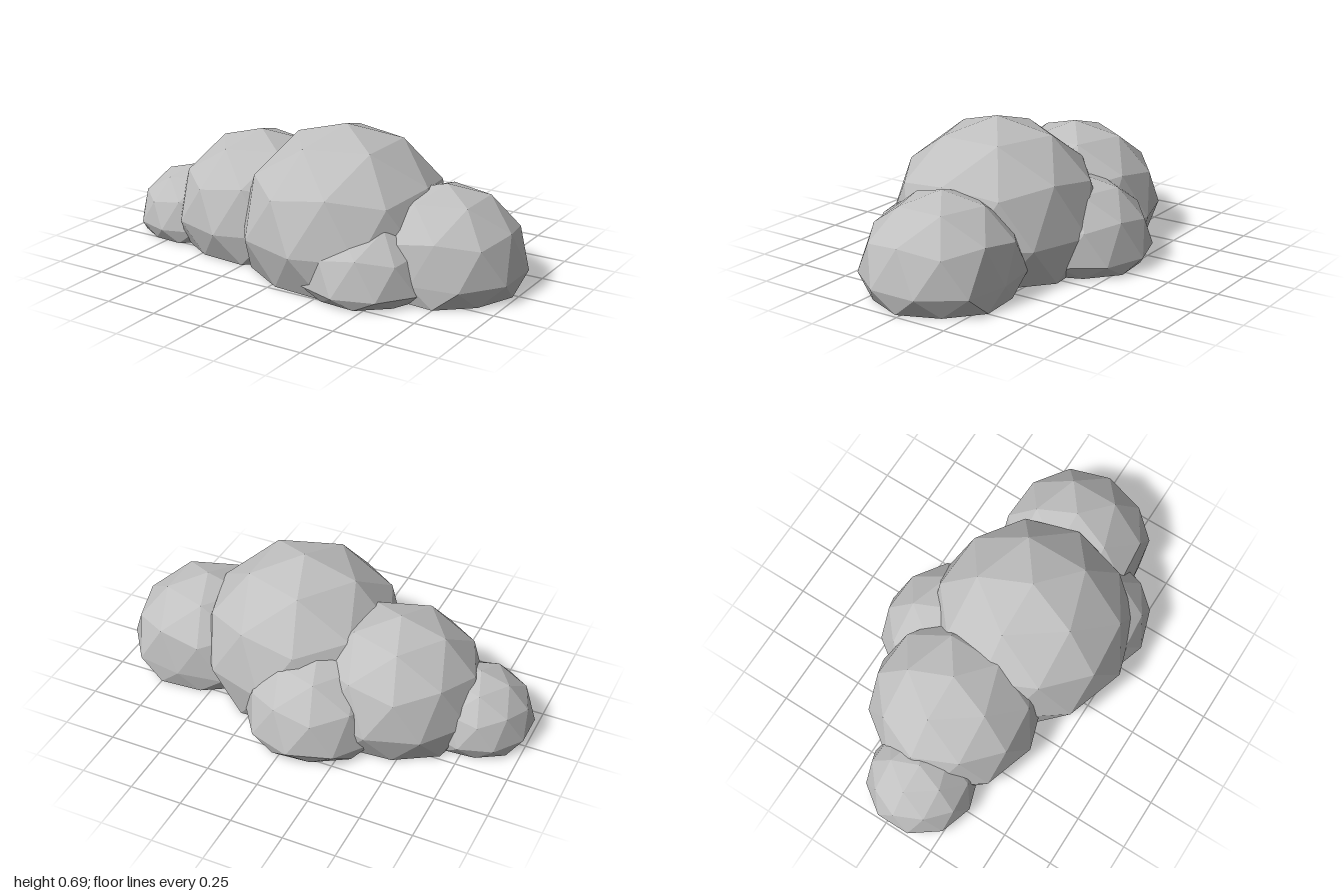
import * as THREE from 'three';

// name, centre x, y, z, radius, optional limit on the half depth
const PUFFS = [
  ['mainPuff', 0.155, 0.19, 0.075, 0.495],
  ['middleRightPuff', -0.37, 0.143, -0.013, 0.414],
  ['outerRightPuff', -0.747, 0.065, 0.04, 0.264],
  ['outerLeftPuff', 0.645, 0.095, 0.022, 0.375, 0.338],
  ['frontPuff', 0.374, 0.05, 0.25, 0.322],
  ['backPuff', -0.06, 0.063, -0.24, 0.344],
];

// Faceted ball with a vertex on top, flattened where it meets the ground
function puffGeometry(x, y, z, radius, depth = radius) {
  const geometry = new THREE.IcosahedronGeometry(radius, 1);
  geometry.rotateZ(Math.atan(2 / (1 + Math.sqrt(5))));
  const p = geometry.attributes.position;
  for (let i = 0; i < p.count; i++) {
    p.setXYZ(
      i,
      p.getX(i) + x,
      Math.max(0, p.getY(i) + y),
      THREE.MathUtils.clamp(p.getZ(i), -depth, depth) + z,
    );
  }
  geometry.computeVertexNormals();
  return geometry;
}

export function createModel() {
  const cloud = new THREE.Group();
  cloud.name = 'cloud';
  const cloudGrey = new THREE.MeshStandardMaterial({ color: 0xc0c0c0, flatShading: true });
  cloudGrey.name = 'cloudGrey';

  for (const [name, ...size] of PUFFS) {
    const puff = new THREE.Mesh(puffGeometry(...size), cloudGrey);
    puff.name = name;
    cloud.add(puff);
  }
  return cloud;
}
